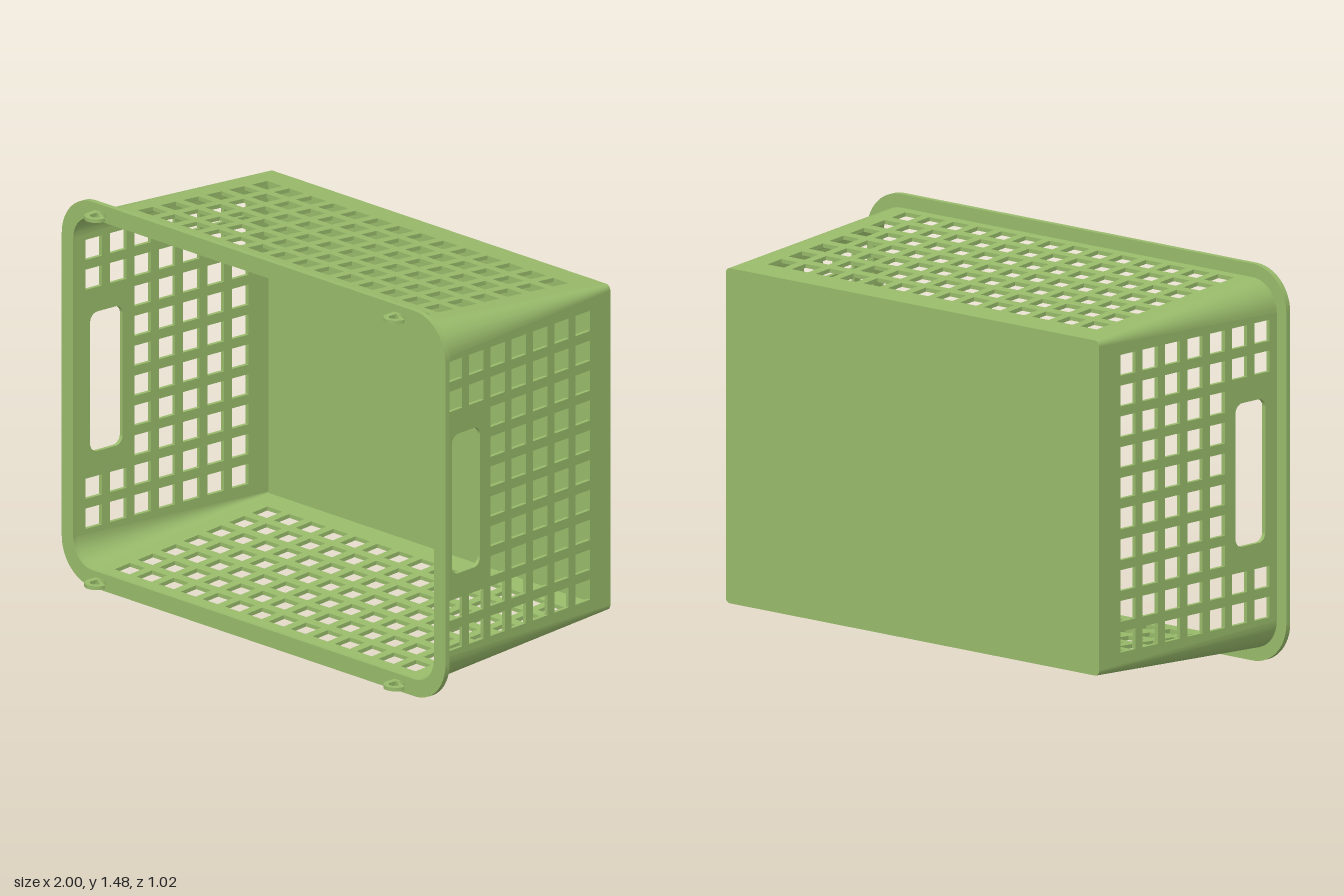
import * as THREE from 'three';

const CY = 0.74, ZF = 0.415, ZB = -0.51, WALL = 0.015;
const material = new THREE.MeshStandardMaterial({ color: 0x98ba6a });

// Taper of the tub: half sizes and corner radius along z (front to back)
const along = (front, back) => z => THREE.MathUtils.mapLinear(z, ZF, ZB, front, back);
const halfX = along(0.955, 0.89);
const halfY = along(0.69, 0.625);
const radius = along(0.115, 0.02);

function roundedRect(path, cx, cy, hw, hh, r) {
  path.absarc(cx + hw - r, cy + hh - r, r, 0, Math.PI / 2);
  path.absarc(cx - hw + r, cy + hh - r, r, Math.PI / 2, Math.PI);
  path.absarc(cx - hw + r, cy - hh + r, r, Math.PI, Math.PI * 1.5);
  path.absarc(cx + hw - r, cy - hh + r, r, Math.PI * 1.5, Math.PI * 2);
  path.closePath();
  return path;
}

function squareHole(x, y, s = 0.039) {
  return new THREE.Path([[-s, -s], [s, -s], [s, s], [-s, s]].map(([a, b]) => new THREE.Vector2(x + a, y + b)));
}

function extrude(shape, depth) {
  return new THREE.ExtrudeGeometry(shape, { depth, bevelEnabled: false, curveSegments: 10 });
}

// Perforated wall: a trapezoid in (width, z), sheared to follow the taper
function wallGeometry(width, height, columns, handle) {
  const f = width(ZF) - radius(ZF), b = width(ZB) - radius(ZB);
  const shape = new THREE.Shape([[-b, ZB], [b, ZB], [f, ZF], [-f, ZF]].map(p => new THREE.Vector2(...p)));
  for (let i = 0; i < columns; i++) {
    for (let j = 0; j < 7; j++) {
      if (handle && j > 4 && i > 1 && i < columns - 2) continue;
      shape.holes.push(squareHole((i - (columns - 1) / 2) * 0.1147, -0.361 + j * 0.1155));
    }
  }
  if (handle) shape.holes.push(roundedRect(new THREE.Path(), 0, 0.272, 0.268, 0.077, 0.035));
  const geometry = extrude(shape, WALL);
  const p = geometry.attributes.position;
  for (let i = 0; i < p.count; i++) {
    const u = p.getX(i), z = p.getY(i), w = p.getZ(i);
    p.setXYZ(i, -u, height(z) - WALL + w, z);
  }
  geometry.computeVertexNormals();
  return geometry;
}

// Corner skin: arc sections whose radius shrinks towards the back
function cornerGeometry(quadrant, inner) {
  const N = 10, M = 8, pos = [], index = [];
  const mid = (quadrant + 0.5) * Math.PI / 2;
  const sx = Math.sign(Math.cos(mid)), sy = Math.sign(Math.sin(mid));
  for (let j = 0; j <= M; j++) {
    const z = THREE.MathUtils.lerp(ZB, ZF, j / M), r = radius(z);
    for (let i = 0; i <= N; i++) {
      const a = (quadrant + i / N) * Math.PI / 2, rr = inner ? r - WALL : r;
      pos.push(sx * (halfX(z) - r) + rr * Math.cos(a), sy * (halfY(z) - r) + rr * Math.sin(a), z);
      if (i < N && j < M) {
        const k = j * (N + 1) + i, l = k + N + 1;
        index.push(...(inner ? [k, l, k + 1, k + 1, l, l + 1] : [k, k + 1, l, k + 1, l + 1, l]));
      }
    }
  }
  const geometry = new THREE.BufferGeometry();
  geometry.setAttribute('position', new THREE.Float32BufferAttribute(pos, 3));
  geometry.setIndex(index);
  geometry.computeVertexNormals();
  return geometry;
}

export function createModel() {
  const model = new THREE.Group();
  model.name = 'basket';
  const add = (name, geometry, x = 0, y = CY, z = 0, turn = 0) => {
    const mesh = new THREE.Mesh(geometry, material);
    mesh.name = name;
    mesh.position.set(x, y, z);
    mesh.rotation.z = turn;
    model.add(mesh);
  };

  // Long walls and short walls with handle slots
  const longWall = wallGeometry(halfX, halfY, 14, false);
  const shortWall = wallGeometry(halfY, halfX, 10, true);
  add('topWall', longWall);
  add('bottomWall', longWall, 0, CY, 0, Math.PI);
  add('leftWall', shortWall, 0, CY, 0, -Math.PI / 2);
  add('rightWall', shortWall, 0, CY, 0, Math.PI / 2);

  // Tapering corners
  for (let q = 0; q < 4; q++) {
    add('cornerOutside', cornerGeometry(q, false));
    add('cornerInside', cornerGeometry(q, true));
  }

  // Closed back panel
  add('backPanel', extrude(roundedRect(new THREE.Shape(), 0, 0, 0.89, 0.625, 0.02), WALL), 0, CY, ZB);

  // Flat rim around the opening
  const rim = roundedRect(new THREE.Shape(), 0, 0, 1, 0.74, 0.16);
  rim.holes.push(roundedRect(new THREE.Path(), 0, 0, 0.94, 0.675, 0.1));
  add('rim', extrude(rim, 0.022), 0, CY, 0.408);

  // Four small eyelets on the rim
  const eyelet = new THREE.Shape();
  eyelet.moveTo(0.045, 0);
  eyelet.absarc(0, 0.04, 0.045, 0, Math.PI);
  eyelet.lineTo(-0.045, 0);
  eyelet.closePath();
  eyelet.holes.push(roundedRect(new THREE.Path(), 0, 0.035, 0.022, 0.03, 0.0215));
  const eyeletGeometry = extrude(eyelet, 0.014).rotateX(Math.PI / 2).translate(0, 0.007, 0);
  for (const x of [-0.78, 0.78]) {
    for (const y of [0.035, 1.445]) add('eyelet', eyeletGeometry, x, y, 0.427);
  }
  return model;
}
